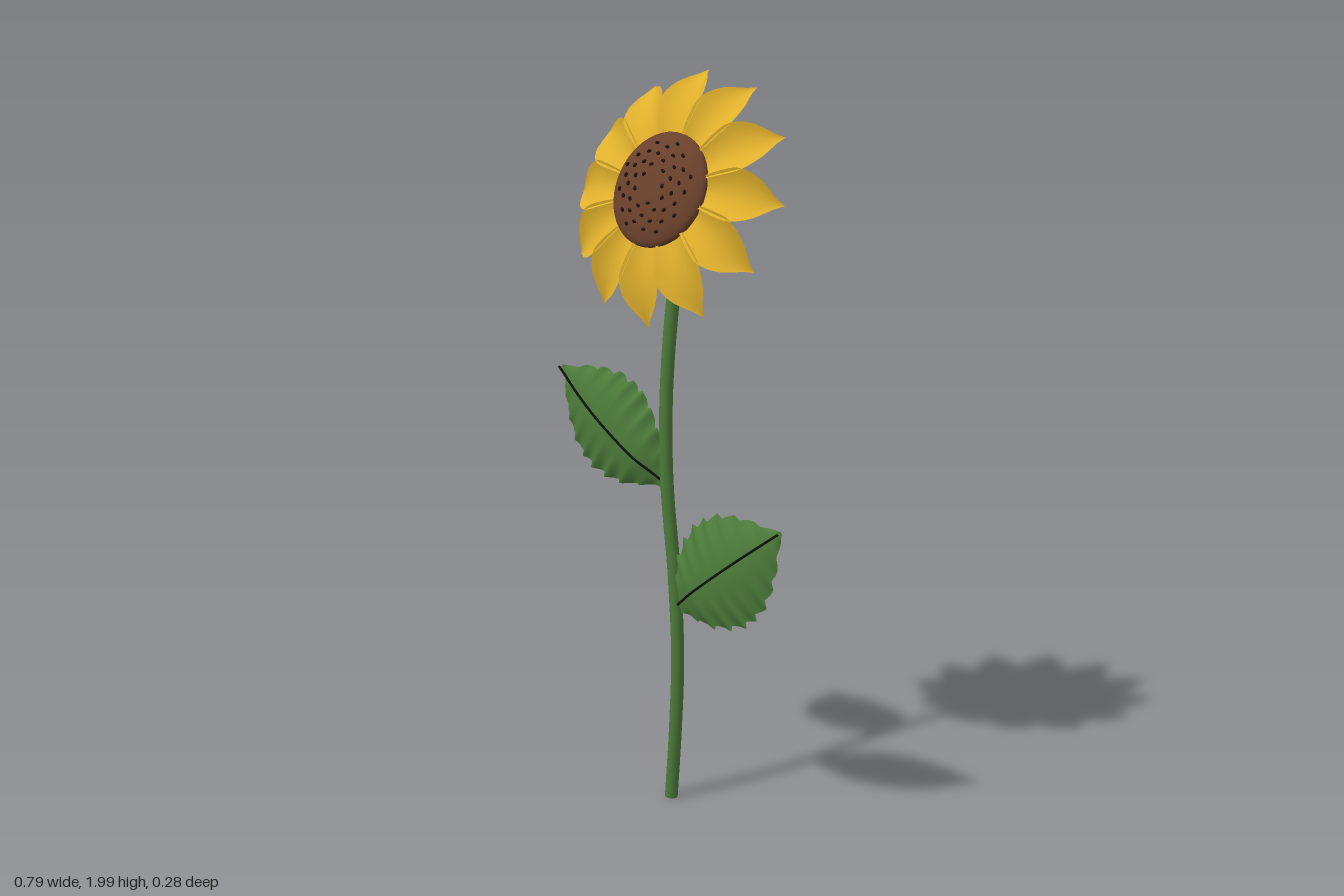
import * as THREE from 'three';

const mat = (name, color, side = THREE.FrontSide) => {
  const m = new THREE.MeshStandardMaterial({ color, side });
  m.name = name;
  return m;
};

// Smooth lookup through evenly spaced values, t in 0..1
const profile = (values) => {
  const curve = new THREE.SplineCurve(values.map((v, i) => new THREE.Vector2(i, v)));
  return (t) => curve.getPoint(t).y;
};

// Curved sheet: fn(u in -1..1, v in 0..1) returns a point
function sheet(across, along, fn) {
  const g = new THREE.PlaneGeometry(2, 1, across, along);
  const p = g.attributes.position;
  for (let i = 0; i < p.count; i++) p.setXYZ(i, ...fn(p.getX(i), p.getY(i) + 0.5));
  g.computeVertexNormals();
  return g;
}

export function createModel() {
  const stemGreen = mat('stem green', 0x4c7a38);
  const leafGreen = mat('leaf green', 0x4f7f3c, THREE.DoubleSide);
  const calyxGreen = mat('calyx green', 0x3f7a3c);
  const yellow = mat('petal yellow', 0xe0b02c, THREE.DoubleSide);
  const brown = mat('disc brown', 0x6b412c);
  const dark = mat('seed dark', 0x22150f);
  const black = mat('vein black', 0x0c120a);

  const model = new THREE.Group();
  model.name = 'sunflower';
  const add = (parent, name, geo, material) => {
    const m = new THREE.Mesh(geo, material);
    m.name = name;
    parent.add(m);
    return m;
  };

  // Stem, gently bent, leaning back at the top
  const stemPath = new THREE.CatmullRomCurve3([
    [-0.02, 0, 0.02], [-0.005, 0.2, 0.02], [0.004, 0.42, 0.02], [-0.008, 0.65, 0.02],
    [-0.035, 0.92, 0.02], [-0.043, 1.15, 0.012], [-0.035, 1.4, -0.006], [-0.024, 1.62, -0.04],
  ].map((a) => new THREE.Vector3(...a)));
  add(model, 'stem', new THREE.TubeGeometry(stemPath, 60, 0.018, 14), stemGreen);
  const cap = add(model, 'stemBase', new THREE.CircleGeometry(0.018, 14), stemGreen);
  cap.rotation.x = Math.PI / 2;
  cap.position.set(-0.02, 0.0015, 0.02);

  // Serrated leaves, bulging forward, with a raised midrib
  const leafWidth = profile([0.025, 0.1, 0.142, 0.142, 0.088, 0.006]);
  const leafDepth = profile([0.02, 0.055, 0.068, 0.072, 0.066, 0.054]);
  const teeth = 9;
  function leaf(name, bx, by, tx, ty, lift) {
    const group = new THREE.Group();
    group.name = name;
    const dx = tx - bx, dy = ty - by, len = Math.hypot(dx, dy);
    const nx = -dy / len, ny = dx / len;
    const depth = (v) => leafDepth(v) + lift * v;
    add(group, 'leafBlade', sheet(12, teeth * 6, (u, v) => {
      const saw = (v * teeth) % 1;
      const w = leafWidth(v) * (0.93 + 0.14 * saw) * u;
      const ripple = 0.004 * Math.cos(v * teeth * Math.PI * 2) * u * u;
      const z = depth(v) - 0.03 * u * u * (leafWidth(v) / 0.142) + ripple;
      return [bx + dx * v + nx * w, by + dy * v + ny * w, z];
    }), leafGreen);
    const rib = [];
    for (let i = 0; i <= 10; i++) {
      const v = i / 10;
      rib.push(new THREE.Vector3(bx + dx * v, by + dy * v, depth(v) + 0.003 + 0.01 * v));
    }
    add(group, 'leafVein', new THREE.TubeGeometry(new THREE.CatmullRomCurve3(rib), 30, 0.0035, 6), black);
    model.add(group);
  }
  leaf('upperLeaf', -0.045, 0.91, -0.392, 1.19, 0);
  leaf('lowerLeaf', 0, 0.567, 0.39, 0.858, 0.01);

  // Flower head, tilted upward; local z is the facing direction
  const head = new THREE.Group();
  head.name = 'flowerHead';
  head.position.set(-0.022, 1.69, 0.05);
  head.rotation.x = -THREE.MathUtils.degToRad(20);
  model.add(head);

  // Domed disc
  const discR = 0.153, discT = 0.036, discZ = 0.01;
  const disc = add(head, 'disc', new THREE.SphereGeometry(1, 40, 24), brown);
  disc.scale.set(discR, discR, discT);
  disc.position.z = discZ;

  // Seeds scattered by the golden angle
  const seedGeo = new THREE.SphereGeometry(1, 8, 6);
  const seeds = new THREE.Group();
  seeds.name = 'seeds';
  for (let i = 0; i < 46; i++) {
    const r = 0.125 * Math.sqrt((i + 5) / 51), a = i * 2.39996;
    const s = add(seeds, 'seed', seedGeo, dark);
    s.scale.set(0.0045, 0.0065, 0.0045);
    s.position.set(r * Math.cos(a), r * Math.sin(a),
      discZ + discT * Math.sqrt(1 - (r / discR) ** 2) + 0.003);
    s.rotation.z = a;
  }
  head.add(seeds);

  // Ring of cupped petals curling back at the tips
  const petalWidth = profile([0.026, 0.042, 0.058, 0.068, 0.05, 0]);
  const petalGeo = sheet(8, 16, (u, v) => {
    const w = petalWidth(v);
    return [w * u, 0.09 + 0.257 * v, -0.07 * v ** 3 + 0.026 * u * u * (w / 0.068)];
  });
  for (let i = 0; i < 12; i++) {
    add(head, 'petal', petalGeo, yellow).rotation.z = i * Math.PI / 6;
  }

  // Calyx behind the head, edged with pointed sepals
  const calyx = new THREE.Group();
  calyx.name = 'calyx';
  calyx.position.set(0, 0.035, -0.095);
  head.add(calyx);
  add(calyx, 'calyxDome', new THREE.SphereGeometry(1, 32, 18), calyxGreen).scale.set(0.12, 0.12, 0.036);
  const sepalGeo = new THREE.LatheGeometry(
    [[0.001, -0.03], [0.018, -0.02], [0.021, -0.005], [0.012, 0.016], [0, 0.035]]
      .map((a) => new THREE.Vector2(...a)), 10);
  sepalGeo.rotateX(-0.5);
  sepalGeo.translate(0, 0.115, -0.014);
  for (let i = 0; i < 9; i++) {
    add(calyx, 'sepal', sepalGeo, calyxGreen).rotation.z = i * Math.PI * 2 / 9;
  }

  return model;
}
